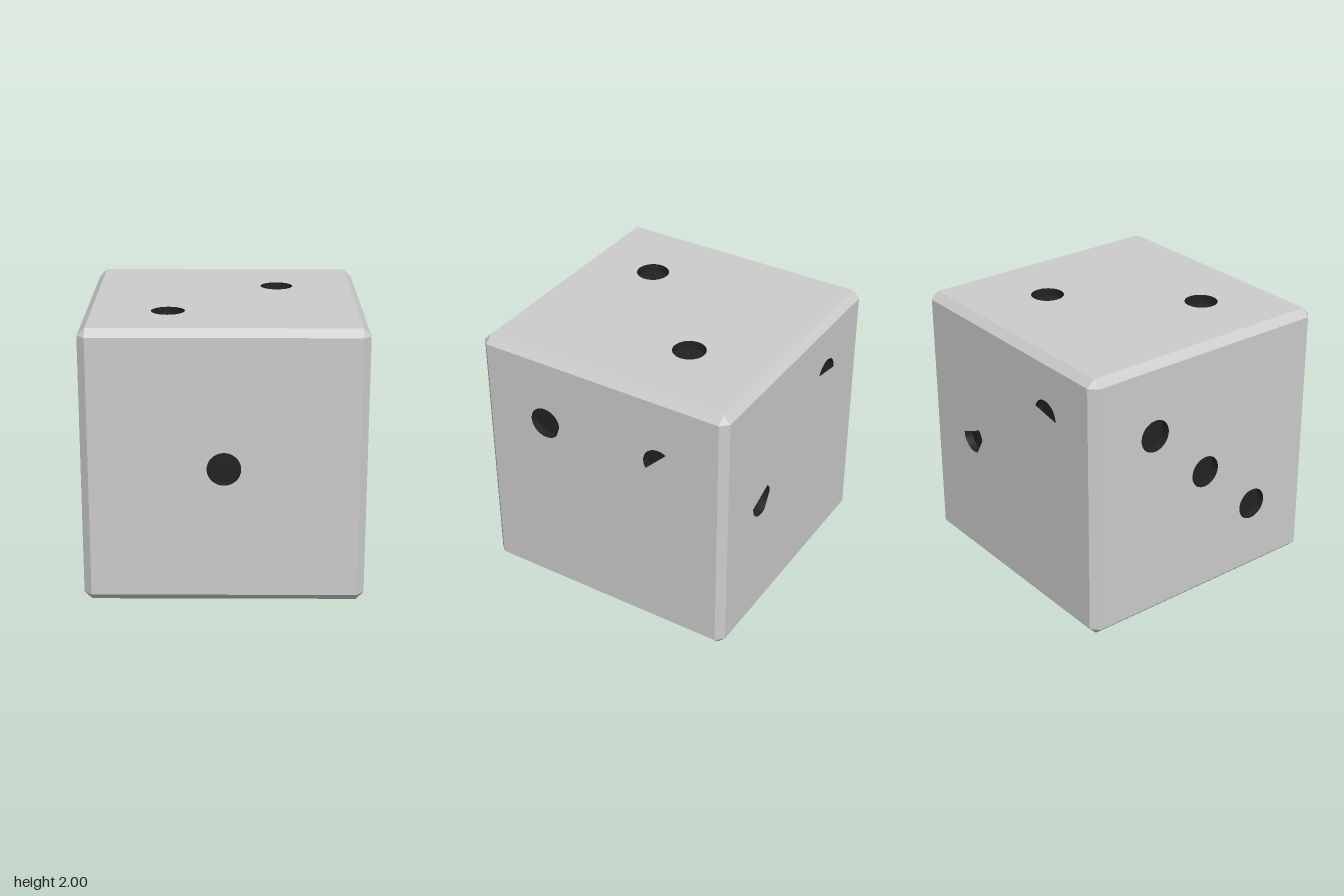
import * as THREE from 'three';

const H = 1;          // half size of the cube
const F = 0.945;      // half size of each flat face inside the chamfers
const R = 0.12;       // pip radius
const DEPTH = 0.06;   // pip depth

const V = (x, y) => new THREE.Vector2(x, y);

// Keep the part of a polygon lying left of the line a -> b
function clip(points, [ax, ay, bx, by]) {
  const side = p => (bx - ax) * (p.y - ay) - (by - ay) * (p.x - ax);
  const out = [];
  points.forEach((p, i) => {
    const q = points[(i + 1) % points.length];
    const sp = side(p), sq = side(q);
    if (sp >= 0) out.push(p);
    if (sp * sq < 0) out.push(p.clone().lerp(q, sp / (sp - sq)));
  });
  return out;
}

// Opening of a pip: a circle, partly covered where cuts are given
function pipOutline({ at, cuts = [] }) {
  const circle = [];
  for (let i = 0; i < 48; i++) {
    const a = (i / 48) * Math.PI * 2;
    circle.push(V(at[0] + R * Math.cos(a), at[1] + R * Math.sin(a)));
  }
  return cuts.reduce(clip, circle);
}

// Each face: rotation from the front, and its pips in face coordinates
const bottomCut = [0, 0.15, 0.945, 0.943];
const FACES = [
  { name: 'front', rot: [0, 0, 0], pips: [{ at: [0, 0.005] }] },
  { name: 'top', rot: [-Math.PI / 2, 0, 0], pips: [{ at: [0.39, 0.35] }, { at: [-0.4, -0.45] }] },
  { name: 'left', rot: [0, Math.PI / 2, 0], pips: [
    { at: [-0.467, 0.445], cuts: [[-0.38, 0.35, -0.35, 0.44]] },
    { at: [0.475, 0.445], cuts: [[0.375, 0.385, 0.54, 0.55]] },
  ] },
  { name: 'right', rot: [0, -Math.PI / 2, 0], pips: [
    { at: [-0.467, 0.445] }, { at: [0, 0.005] }, { at: [0.47, -0.43] },
  ] },
  { name: 'back', rot: [0, Math.PI, 0], pips: [
    { at: [-0.467, 0], cuts: [[-0.377, 0.091, -0.585, 0], [-0.415, -0.103, -0.349, 0.011]] },
    { at: [0.465, 0.55], cuts: [[0.35, 0.592, 0.585, 0.55]] },
  ] },
  { name: 'bottom', rot: [Math.PI / 2, 0, 0], pips: [
    { at: [-0.4, 0.46] },
    { at: [0.4, 0.46], cuts: [bottomCut] },
    { at: [0, 0.05], cuts: [bottomCut] },
    { at: [-0.4, -0.36], cuts: [[-0.364, -0.35, -0.51, -0.33], [-0.33, -0.42, -0.364, -0.35]] },
  ] },
];

// Chamfer strips on the 12 edges and triangles on the 8 corners
function chamferGeometry() {
  const pos = [];
  const tri = (a, b, c) => {
    const n = b.clone().sub(a).cross(c.clone().sub(a));
    const order = n.dot(a.clone().add(b).add(c)) > 0 ? [a, b, c] : [a, c, b];
    order.forEach(p => pos.push(p.x, p.y, p.z));
  };
  // Corner point lying on the face across the given axis
  const corner = (signs, axis) =>
    new THREE.Vector3(...signs.map((s, i) => s * (i === axis ? H : F)));
  for (let k = 0; k < 3; k++) {
    const i = (k + 1) % 3, j = (k + 2) % 3;
    for (const si of [-1, 1]) for (const sj of [-1, 1]) {
      const lo = [], hi = [];
      lo[i] = hi[i] = si;
      lo[j] = hi[j] = sj;
      lo[k] = -1;
      hi[k] = 1;
      const a = corner(lo, i), b = corner(hi, i), c = corner(hi, j), d = corner(lo, j);
      tri(a, b, c);
      tri(a, c, d);
    }
  }
  for (const x of [-1, 1]) for (const y of [-1, 1]) for (const z of [-1, 1]) {
    const s = [x, y, z];
    tri(corner(s, 0), corner(s, 1), corner(s, 2));
  }
  const geo = new THREE.BufferGeometry();
  geo.setAttribute('position', new THREE.Float32BufferAttribute(pos, 3));
  geo.computeVertexNormals();
  return geo;
}

export function createModel() {
  const bodyMat = new THREE.MeshStandardMaterial({ color: 0xcccccc });
  const pipMat = new THREE.MeshStandardMaterial({ color: 0x222222, side: THREE.DoubleSide });

  const die = new THREE.Group();
  die.name = 'die';
  die.position.y = H;

  const chamfers = new THREE.Mesh(chamferGeometry(), bodyMat);
  chamfers.name = 'chamfers';
  die.add(chamfers);

  const wallGeo = new THREE.CylinderGeometry(R, R, DEPTH, 48, 1, true).rotateX(Math.PI / 2);
  const floorGeo = new THREE.CircleGeometry(R, 48);

  for (const { name, rot, pips } of FACES) {
    const side = new THREE.Group();
    side.name = name + 'Side';
    side.rotation.set(...rot);

    // Flat face with the pip openings
    const shape = new THREE.Shape([V(-F, -F), V(F, -F), V(F, F), V(-F, F)]);
    shape.holes = pips.map(p => new THREE.Path(pipOutline(p)));
    const face = new THREE.Mesh(new THREE.ShapeGeometry(shape), bodyMat);
    face.name = name + 'Face';
    face.position.z = H;
    side.add(face);

    // Sunken dark pips
    for (const { at } of pips) {
      const pip = new THREE.Group();
      pip.name = 'pip';
      pip.position.set(at[0], at[1], H);
      const wall = new THREE.Mesh(wallGeo, pipMat);
      wall.name = 'pipWall';
      wall.position.z = -DEPTH / 2;
      const floor = new THREE.Mesh(floorGeo, pipMat);
      floor.name = 'pipFloor';
      floor.position.z = -DEPTH;
      pip.add(wall, floor);
      side.add(pip);
    }
    die.add(side);
  }

  const model = new THREE.Group();
  model.name = 'model';
  model.add(die);
  return model;
}
